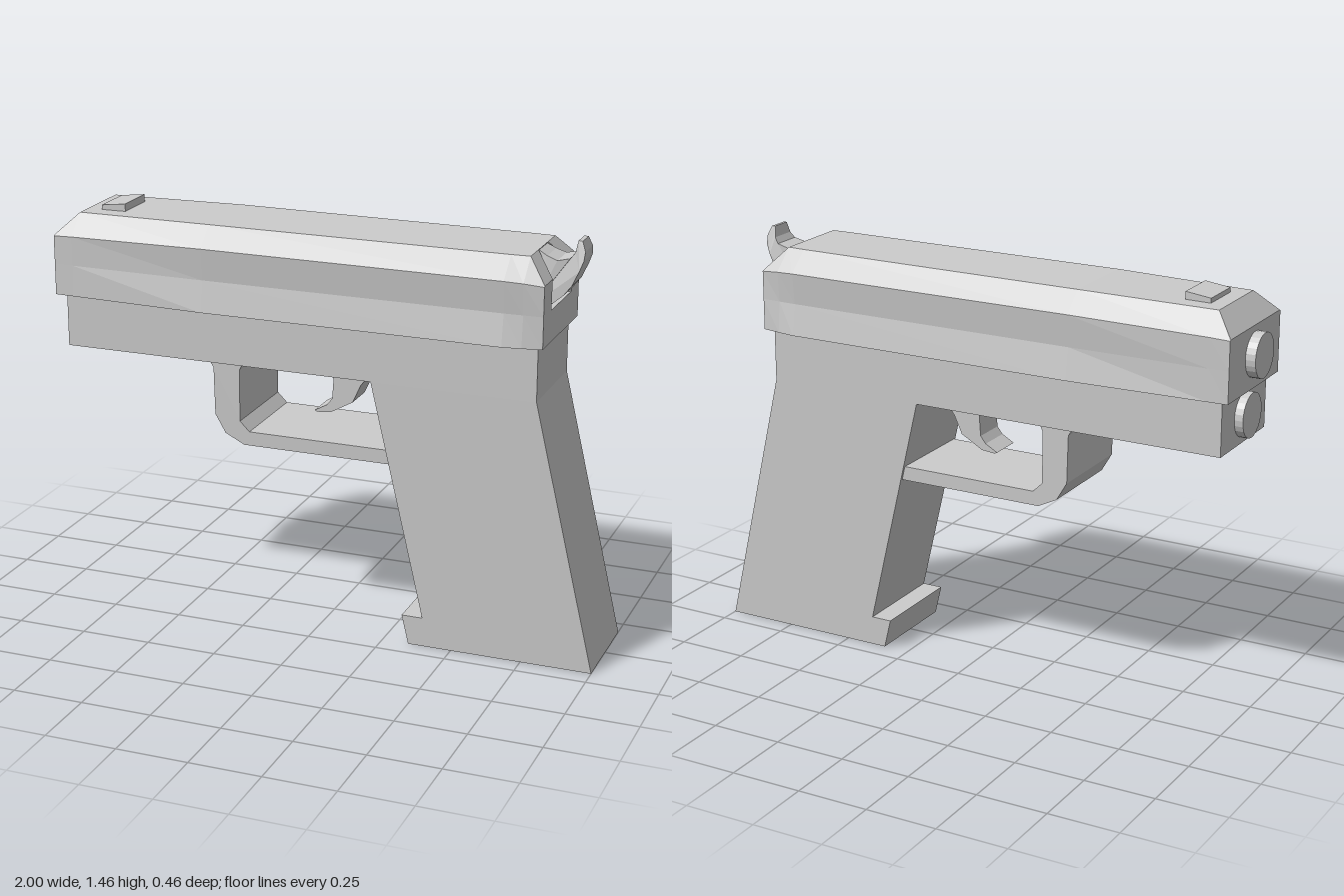
import * as THREE from 'three';

const material = new THREE.MeshStandardMaterial({ color: 0xcccccc, flatShading: true });

function add(group, name, geometry) {
  const mesh = new THREE.Mesh(geometry, material);
  mesh.name = name;
  group.add(mesh);
  return mesh;
}

// Side profile [x, y] extruded symmetrically about z = 0
function plate(points, halfWidth) {
  const shape = new THREE.Shape(points.map(p => new THREE.Vector2(...p)));
  const g = new THREE.ExtrudeGeometry(shape, { depth: halfWidth * 2, bevelEnabled: false });
  return g.translate(0, 0, -halfWidth);
}

// Capped loft along x; each section is { x, half: [[z, y], ...] } mirrored across z
function loft(sections) {
  const rings = sections.map(({ x, half }) => [
    ...half.map(([z, y]) => [x, y, -z]),
    ...half.slice().reverse().map(([z, y]) => [x, y, z]),
  ]);
  const pos = [];
  const tri = (a, b, c) => pos.push(...a, ...b, ...c);
  for (let k = 0; k < rings.length - 1; k++) {
    const a = rings[k], b = rings[k + 1];
    for (let i = 0; i < a.length; i++) {
      const j = (i + 1) % a.length;
      tri(a[i], a[j], b[j]);
      tri(a[i], b[j], b[i]);
    }
  }
  const cap = (r, flip) => {
    const flat = r.map(p => new THREE.Vector2(p[1], p[2]));
    for (const [a, b, c] of THREE.ShapeUtils.triangulateShape(flat, [])) {
      if (flip) tri(r[a], r[c], r[b]);
      else tri(r[a], r[b], r[c]);
    }
  };
  cap(rings[0], true);
  cap(rings[rings.length - 1], false);
  const g = new THREE.BufferGeometry();
  g.setAttribute('position', new THREE.Float32BufferAttribute(pos, 3));
  g.computeVertexNormals();
  return g;
}

// Slide section: base width, waist width, shoulder and top edge
const section = (x, base, waist, shoulder, shoulderY, top, topY) => ({
  x, half: [[base, 1.13], [waist, 1.24], [shoulder, shoulderY], [top, topY]],
});

export function createModel() {
  const model = new THREE.Group();
  model.name = 'model';

  // Frame and raked grip with a small toe at the base
  add(model, 'frameAndGrip', plate([
    [-0.935, 0.94], [0.2, 0.94], [0.395, 0.105], [0.32, 0.105], [0.345, 0],
    [1, 0], [0.78, 0.94], [0.78, 1.13], [-0.935, 1.13],
  ], 0.18));

  // Slide body, bulging slightly between its ends
  add(model, 'slide', loft([
    section(-0.965, 0.205, 0.205, 0.205, 1.34, 0.2, 1.343),
    section(-0.895, 0.208, 0.206, 0.207, 1.343, 0.137, 1.415),
    section(-0.4, 0.23, 0.212, 0.222, 1.352, 0.15, 1.42),
    section(0.67, 0.23, 0.212, 0.222, 1.35, 0.145, 1.42),
    section(0.735, 0.22, 0.21, 0.217, 1.347, 0.142, 1.42),
  ]));

  // Rear end of the slide with the flared notch
  const rear = section(0.735, 0.22, 0.21, 0.217, 1.347, 0.142, 1.42);
  rear.half.push([0.055, 1.42], [0.055, 1.24]);
  const tail = section(0.803, 0.208, 0.208, 0.208, 1.34, 0.203, 1.343);
  tail.half.push([0.115, 1.343], [0.12, 1.24]);
  add(model, 'slideRear', loft([rear, tail]));

  // Front sight, rising a little towards the rear
  add(model, 'frontSight', plate([
    [-0.84, 1.41], [-0.75, 1.41], [-0.75, 1.443], [-0.84, 1.432],
  ], 0.077));

  // Barrel end and the rod below it
  for (const [name, x, y] of [['barrelEnd', -0.96, 1.245], ['guideRod', -0.925, 1.037]]) {
    const g = new THREE.CylinderGeometry(0.077, 0.077, 0.08, 24).rotateZ(Math.PI / 2);
    add(model, name, g).position.set(x, y, 0);
  }

  // Guard loop running from the frame to the grip
  add(model, 'triggerGuard', plate([
    [-0.395, 0.94], [-0.382, 0.92], [-0.378, 0.75], [-0.34, 0.685], [-0.27, 0.65],
    [0.29, 0.65], [0.28, 0.7], [-0.25, 0.7], [-0.285, 0.735], [-0.285, 0.92], [-0.275, 0.94],
  ], 0.17));

  // Curved trigger
  add(model, 'trigger', plate([
    [0, 0.94], [0.02, 0.89], [0.015, 0.82], [-0.005, 0.795], [-0.05, 0.77], [-0.04, 0.765],
    [0.01, 0.77], [0.09, 0.815], [0.12, 0.88], [0.17, 0.945],
  ], 0.06));

  // Hammer, narrowing towards its spur
  const hammer = plate([
    [0.73, 1.24], [0.79, 1.245], [0.825, 1.275], [0.852, 1.31], [0.875, 1.36], [0.888, 1.395],
    [0.89, 1.425], [0.877, 1.457], [0.863, 1.458], [0.857, 1.42], [0.842, 1.4],
    [0.8, 1.39], [0.765, 1.402], [0.73, 1.42],
  ], 0.06);
  const p = hammer.attributes.position;
  for (let i = 0; i < p.count; i++) {
    const t = Math.max(0, (p.getY(i) - 1.38) / 0.08);
    p.setZ(i, p.getZ(i) * (1 - 0.42 * t));
  }
  hammer.computeVertexNormals();
  add(model, 'hammer', hammer);

  return model;
}
